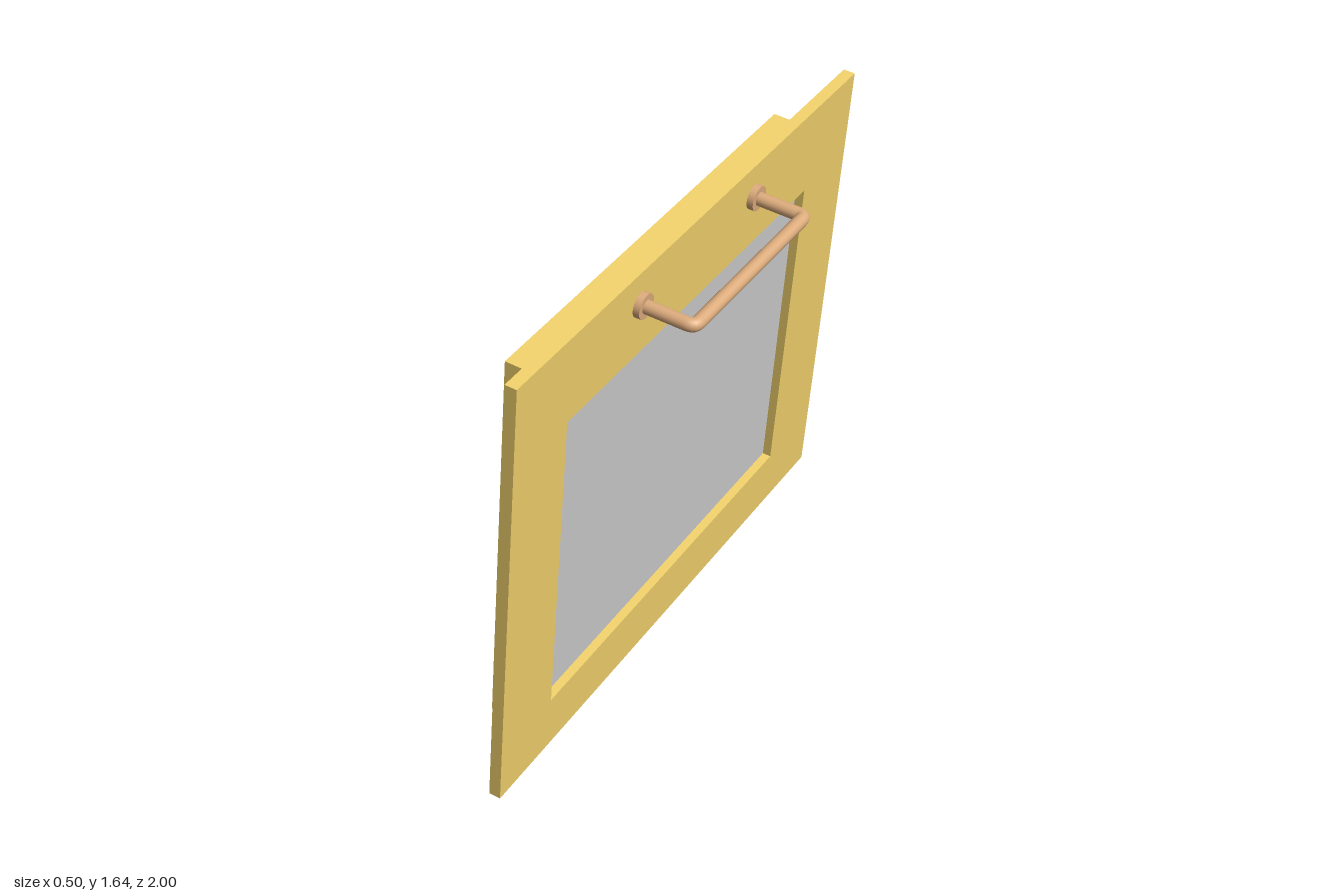
import * as THREE from 'three';

const brass = new THREE.MeshStandardMaterial({ color: 0xf1d16c });
const copper = new THREE.MeshStandardMaterial({ color: 0xdcab7c });
const grey = new THREE.MeshStandardMaterial({ color: 0xcccccc });

function rectangle(Path, halfWidth, bottom, top) {
  return new Path([
    [-halfWidth, bottom], [halfWidth, bottom], [halfWidth, top], [-halfWidth, top],
  ].map(([x, y]) => new THREE.Vector2(x, y)));
}

// Rectangular slab between two depths, with an optional window opening
function slab(name, material, [halfWidth, bottom, top], [back, front], opening) {
  const shape = rectangle(THREE.Shape, halfWidth, bottom, top);
  if (opening) shape.holes.push(rectangle(THREE.Path, ...opening));
  const geometry = new THREE.ExtrudeGeometry(shape, { depth: front - back, bevelEnabled: false });
  geometry.translate(0, 0, back);
  const mesh = new THREE.Mesh(geometry, material);
  mesh.name = name;
  return mesh;
}

function createHandle() {
  const handle = new THREE.Group();
  handle.name = 'handle';
  const halfSpan = 0.34, reach = 0.182, bend = 0.025;
  const v = (x, z) => new THREE.Vector3(x, 0, z);

  // Bar with two tight bends
  const path = new THREE.CurvePath();
  path.add(new THREE.LineCurve3(v(-halfSpan, 0), v(-halfSpan, reach - bend)));
  path.add(new THREE.QuadraticBezierCurve3(v(-halfSpan, reach - bend), v(-halfSpan, reach), v(-halfSpan + bend, reach)));
  path.add(new THREE.LineCurve3(v(-halfSpan + bend, reach), v(halfSpan - bend, reach)));
  path.add(new THREE.QuadraticBezierCurve3(v(halfSpan - bend, reach), v(halfSpan, reach), v(halfSpan, reach - bend)));
  path.add(new THREE.LineCurve3(v(halfSpan, reach - bend), v(halfSpan, 0)));
  const bar = new THREE.Mesh(new THREE.TubeGeometry(path, 160, 0.0225, 20), copper);
  bar.name = 'handleBar';
  handle.add(bar);

  // Round mounting plates
  for (const side of [-1, 1]) {
    const plate = new THREE.Mesh(new THREE.CylinderGeometry(0.042, 0.042, 0.022, 32), copper);
    plate.name = 'handlePlate';
    plate.rotation.x = Math.PI / 2;
    plate.position.set(side * halfSpan, 0, 0.011);
    handle.add(plate);
  }
  handle.position.y = 1.53;
  return handle;
}

export function createModel() {
  const model = new THREE.Group();
  model.name = 'ovenDoor';

  // Built facing +z, then turned to face +x and leaned forward
  const door = new THREE.Group();
  door.name = 'door';
  const outerWindow = [0.72, 0.2, 1.34];
  const innerWindow = [0.692, 0.225, 1.325];
  door.add(
    slab('frontPanel', brass, [1, 0, 1.645], [-0.04, 0], outerWindow),
    slab('innerFrame', brass, [0.792, 0.123, 1.53], [-0.172, -0.04], innerWindow),
    slab('outerGlass', grey, outerWindow, [-0.04, -0.03]),
    slab('innerGlass', grey, innerWindow, [-0.172, -0.162]),
    createHandle(),
  );
  door.rotation.set(0, Math.PI / 2, -THREE.MathUtils.degToRad(5), 'ZYX');
  door.position.x = -0.089;
  model.add(door);
  return model;
}
